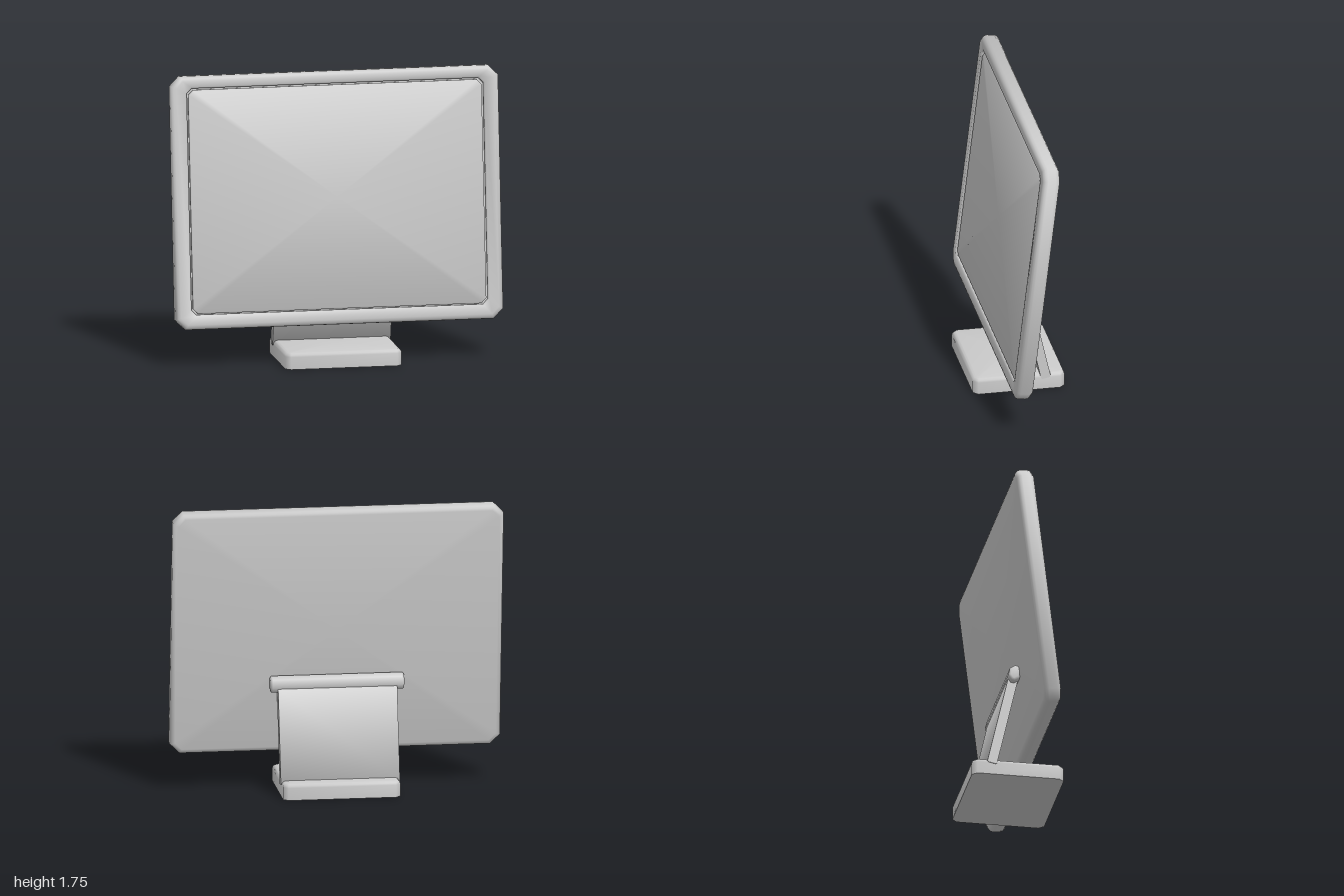
import * as THREE from 'three';
import { toCreasedNormals } from 'three/addons/utils/BufferGeometryUtils.js';

const material = new THREE.MeshStandardMaterial({ color: 0xcccccc });

// Rectangle with cut corners, counter-clockwise, at height z
function ring(x0, x1, y0, y1, cut, z) {
  return [
    [x1, y0 + cut], [x1, y1 - cut], [x1 - cut, y1], [x0 + cut, y1],
    [x0, y1 - cut], [x0, y0 + cut], [x0 + cut, y0], [x1 - cut, y0],
  ].map(([x, y]) => new THREE.Vector3(x, y, z));
}

// The same rectangle pulled in by d on every side
function inset([x0, x1, y0, y1, cut], d, z) {
  return ring(x0 + d, x1 - d, y0 + d, y1 - d, Math.max(cut - 0.586 * d, 0.002), z);
}

// Rounded edge from the wall (t = 0) to the flat face (t = 1)
function roundEdge(rect, r, zFace, dir) {
  const rings = [];
  for (let i = 0; i <= 3; i++) {
    const a = (i / 3) * Math.PI / 2;
    rings.push(inset(rect, r * (1 - Math.cos(a)), zFace - dir * r * (1 - Math.sin(a))));
  }
  return dir > 0 ? rings : rings.reverse();
}

// Skin a stack of rings and close both ends
function loft(rings) {
  const points = [];
  const center = (r) => r.reduce((s, p) => s.add(p), new THREE.Vector3()).divideScalar(r.length);
  const first = rings[0], last = rings[rings.length - 1], n = first.length;
  const c0 = center(first), c1 = center(last);
  for (let i = 0; i < n; i++) {
    const j = (i + 1) % n;
    points.push(c0, first[j], first[i], c1, last[i], last[j]);
    for (let k = 0; k < rings.length - 1; k++) {
      const a = rings[k], b = rings[k + 1];
      points.push(a[i], a[j], b[j], a[i], b[j], b[i]);
    }
  }
  return toCreasedNormals(new THREE.BufferGeometry().setFromPoints(points), 0.85);
}

function addPart(parent, name, geometry) {
  const mesh = new THREE.Mesh(geometry, material);
  mesh.name = name;
  parent.add(mesh);
  return mesh;
}

export function createModel() {
  const model = new THREE.Group();
  model.name = 'monitor';

  // Tilted display: rounded housing with a recess for the screen
  const display = new THREE.Group();
  display.name = 'display';
  display.position.set(0, 0.99, 0.011);
  display.rotation.x = THREE.MathUtils.degToRad(-6.8);
  model.add(display);

  const half = 0.053;
  const outer = [-1, 1, -0.763, 0.763, 0.06];
  const opening = [-0.905, 0.905, -0.673, 0.69, 0.03];
  addPart(display, 'housing', loft([
    ...roundEdge(outer, 0.03, -half, -1),
    ...roundEdge(outer, 0.03, half, 1),
    inset(opening, -0.008, half),
    inset(opening, 0, half - 0.008),
    inset(opening, 0, half - 0.025),
  ]));

  // Screen plate sits just below the bezel, with a narrow gap around it
  const screen = [-0.895, 0.895, -0.667, 0.68, 0.03];
  addPart(display, 'screen', loft([
    inset(screen, 0, half - 0.03),
    inset(screen, 0, half - 0.012),
    inset(screen, 0.008, half - 0.006),
  ]));

  // Foot: flat underside, rounded top edge
  const foot = [-0.355, 0.355, -0.28, 0.28, 0.03];
  addPart(model, 'foot', loft([
    inset(foot, 0, 0), ...roundEdge(foot, 0.025, 0.1, 1),
  ]).rotateX(-Math.PI / 2));

  // Support plate leaning forward from the foot to the hinge
  const lean = Math.atan2(0.127, 0.56);
  const support = [-0.03, 0.03, -0.29, 0.29, 0.008];
  const plate = addPart(model, 'support', loft([
    inset(support, 0, -0.36), inset(support, 0, 0.36),
  ]).rotateY(Math.PI / 2));
  plate.position.set(0, 0.355, -0.098);
  plate.rotation.x = lean;

  // Hinge bar across the back of the display
  const bar = [-0.036, 0.036, -0.05, 0.05, 0.026];
  const hinge = addPart(model, 'hingeBar', loft([
    ...roundEdge(bar, 0.015, -0.405, -1), ...roundEdge(bar, 0.015, 0.405, 1),
  ]).rotateY(Math.PI / 2));
  hinge.position.set(0, 0.66, -0.03);
  hinge.rotation.x = lean;

  return model;
}
